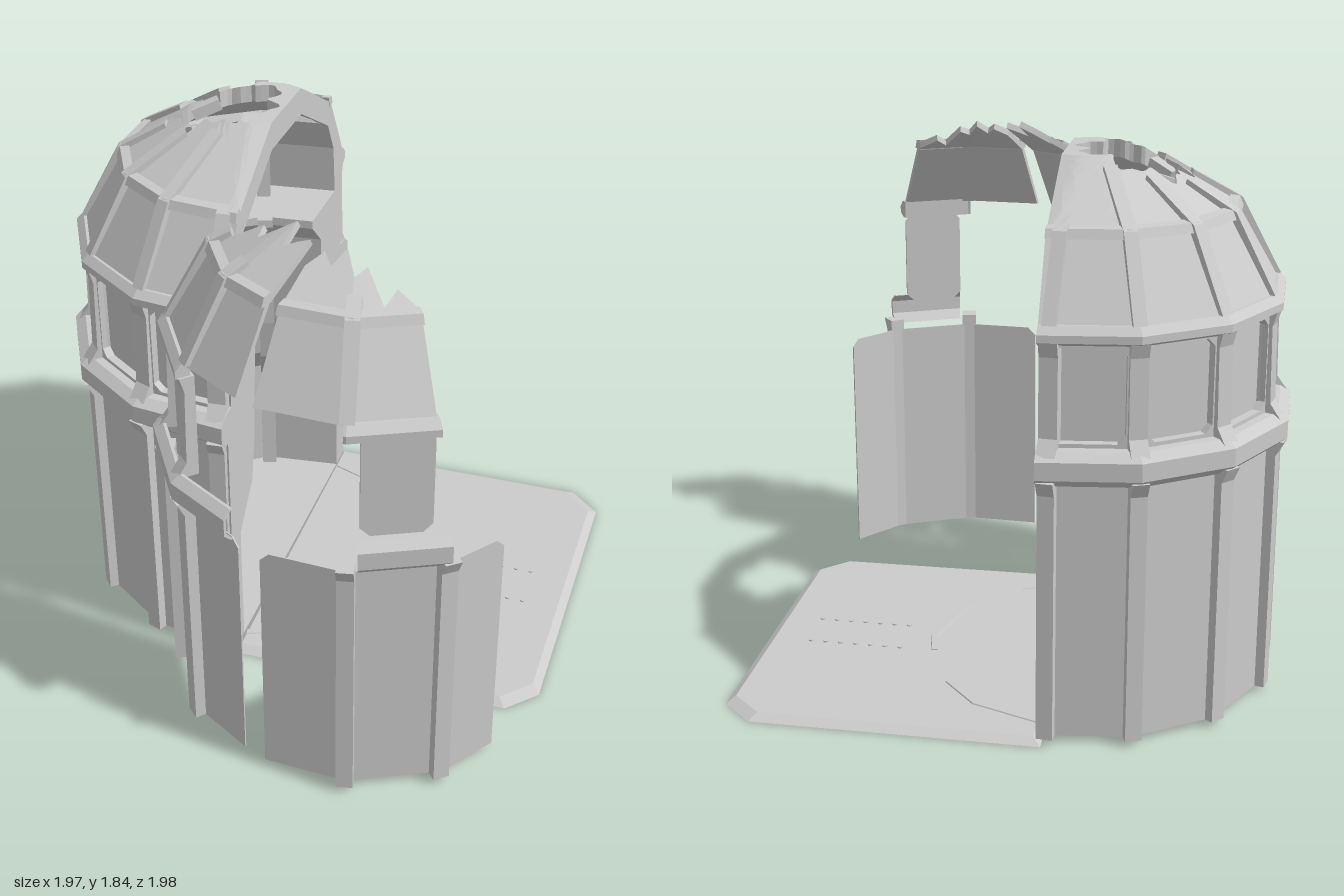
import * as THREE from 'three';

const STEP = (Math.PI * 2) / 13;            // the tower is a 13-sided polygon
const CUT = 0.083;                          // distance of the flat cut from the axis
const mat = new THREE.MeshStandardMaterial({ color: 0xcccccc, flatShading: true, side: THREE.DoubleSide });
const angle = (i) => Math.PI + (i - 3.5) * STEP;
const lerp = THREE.MathUtils.lerp;

function add(parent, name, geo) {
  const m = new THREE.Mesh(geo, mat);
  m.name = name;
  parent.add(m);
  return m;
}

// point on the polygon wall; u counts corners, fractions lie along a side
function wallPoint(u, r, y, flatEnds) {
  if (flatEnds && (u === 0 || u === 7)) return new THREE.Vector3(CUT, y, r * Math.sin(angle(u)));
  const i = Math.floor(u), f = u - i, a = angle(i), b = angle(i + 1);
  return new THREE.Vector3(r * lerp(Math.cos(a), Math.cos(b), f), y, r * lerp(Math.sin(a), Math.sin(b), f));
}

// skin closed cross-sections, with caps from the flat outlines
function loft(rings, caps) {
  const pos = [], tri = (...p) => p.forEach((v) => pos.push(v.x, v.y, v.z));
  const n = rings[0].length, last = caps ? rings.length - 1 : rings.length;
  for (let i = 0; i < last; i++) {
    const A = rings[i], B = rings[(i + 1) % rings.length];
    for (let j = 0; j < n; j++) {
      const k = (j + 1) % n;
      tri(A[j], A[k], B[j]);
      tri(A[k], B[k], B[j]);
    }
  }
  if (caps) caps.forEach((outline, e) => {
    const R = rings[e ? rings.length - 1 : 0];
    const flat = outline.map((p) => new THREE.Vector2(p[0], p[1]));
    THREE.ShapeUtils.triangulateShape(flat, []).forEach(([a, b, c]) => (e ? tri(R[a], R[b], R[c]) : tri(R[a], R[c], R[b])));
  });
  const g = new THREE.BufferGeometry();
  g.setAttribute('position', new THREE.Float32BufferAttribute(pos, 3));
  g.computeVertexNormals();
  return g;
}

// sweep an (r, y) section along the wall from u0 to u1
function sweep(u0, u1, section, flatEnds = false, extra = []) {
  const us = [u0, u1, ...extra];
  for (let i = Math.floor(u0) + 1; i < u1; i++) us.push(i);
  us.sort((a, b) => a - b);
  const at = typeof section === 'function' ? section : () => section;
  return loft(us.map((u) => at(u).map(([r, y]) => wallPoint(u, r, y, flatEnds))), [at(u0), at(u1)]);
}

const shapeOf = (pts) => new THREE.Shape(pts.map(([x, y]) => new THREE.Vector2(x, y)));

// radial slab at corner u with an (r, y) outline
function rib(parent, name, u, pts, w) {
  const g = new THREE.ExtrudeGeometry(shapeOf(pts), { depth: w, bevelEnabled: false });
  g.translate(0, 0, -w / 2);
  add(parent, name, g).rotation.y = -angle(u);
}

const octagon = (w, y0, y1, c) => [[-w, y0 + c], [-w + c, y0], [w - c, y0], [w, y0 + c], [w, y1 - c], [w - c, y1], [-w + c, y1], [-w, y1 - c]];

// flat panel on the side with its middle at u
function facePanel(parent, name, u, shape, r, depth) {
  const m = add(parent, name, new THREE.ExtrudeGeometry(shape, { depth, bevelEnabled: false }));
  const a = angle(u), d = r * Math.cos(STEP / 2);
  m.position.set(d * Math.cos(a), 0, d * Math.sin(a));
  m.rotation.y = Math.PI / 2 - a;
}

function windowFrame(parent, u) {
  const s = shapeOf([[-0.146, 1.01], [0.146, 1.01], [0.146, 1.36], [-0.146, 1.36]]);
  s.holes.push(new THREE.Path(octagon(0.115, 1.03, 1.34, 0.025).map(([x, y]) => new THREE.Vector2(x, y))));
  facePanel(parent, 'windowFrame', u, s, 0.6, 0.03);
}

const PILASTER = [[0.6, 0.02], [0.665, 0.02], [0.665, 0.87], [0.69, 0.92], [0.6, 0.92]];
const POST = [[0.58, 1.0], [0.675, 1.0], [0.64, 1.05], [0.635, 1.31], [0.65, 1.36], [0.58, 1.36]];
const BELT = [[0.59, 0.9], [0.66, 0.9], [0.695, 0.93], [0.695, 0.99], [0.66, 1.015], [0.59, 1.02]];
const BELT_SHELL = [[0.655, 0.9], [0.665, 0.9], [0.695, 0.93], [0.695, 0.99], [0.665, 1.015], [0.655, 1.015], [0.685, 0.985], [0.685, 0.935]];
const CORNICE = [[0.57, 1.345], [0.63, 1.345], [0.66, 1.36], [0.66, 1.385], [0.635, 1.41], [0.57, 1.41]];
const HOOP = [[0.47, 1.64], [0.505, 1.645], [0.492, 1.675], [0.46, 1.68]];
const domeY = (r) => lerp(1.84, 1.66, Math.max(0, (r - 0.175) / 0.305));
// rib up the dome, ending at radius r
const domeRib = (r) => [[0.6, 1.4], [0.637, 1.41], [0.497, 1.67], [r, domeY(r) + 0.015], [r - 0.01, domeY(r) - 0.02], [0.46, 1.65]];

// top of the dome, with a ragged hole beside the axis
function crown() {
  const hx = -0.13, R = 0.48, FLAT = 0.175, ap = Math.cos(STEP / 2), angs = [];
  for (let i = 0; i < 72; i++) angs.push((i / 72) * Math.PI * 2);
  for (let i = 0; i <= 7; i++) {
    const p = wallPoint(i, R, 0, true);
    angs.push((Math.atan2(p.z, p.x - hx) + Math.PI * 2) % (Math.PI * 2));
  }
  angs.sort((a, b) => a - b);
  const radius = (x, z) => {
    let m = 0;
    for (let j = 0; j < 13; j++) m = Math.max(m, (x * Math.cos(angle(j + 0.5)) + z * Math.sin(angle(j + 0.5))) / ap);
    return m;
  };
  return loft(angs.map((a) => {
    const c = Math.cos(a), s = Math.sin(a);
    let end = c > 0 ? (CUT - hx) / c : 9;
    for (let j = 0; j < 13; j++) {
      const nx = Math.cos(angle(j + 0.5)), d = c * nx + s * Math.sin(angle(j + 0.5));
      if (d > 1e-6) end = Math.min(end, (R * ap - hx * nx) / d);
    }
    const start = 0.172 + 0.022 * Math.sin(a * 7) + 0.014 * Math.sin(a * 13 + 1);
    // a sample lands on the edge of the flat top
    let lo = start, hi = end;
    for (let k = 0; k < 25; k++) {
      const mid = (lo + hi) / 2;
      if (radius(hx + mid * c, mid * s) < FLAT) lo = mid; else hi = mid;
    }
    const top = [], low = [];
    for (let k = 0; k <= 8; k++) {
      const t = k < 4 ? lerp(start, lo, k / 4) : lerp(lo, end, (k - 4) / 4);
      const x = hx + t * c, z = t * s, y = domeY(radius(x, z));
      top.unshift(new THREE.Vector3(x, y, z));
      // thicker along the arch of the cut
      low.push(new THREE.Vector3(x, y - (x > 0.02 ? 0.095 : 0.06), z));
    }
    return [...low, ...top];
  }));
}

function mainTower() {
  const g = new THREE.Group();
  g.name = 'cutTower';
  // solid wall, bell-shaped room, upper chamber and lower dome in one section
  add(g, 'towerBody', sweep(0, 7, [[0.555, 0.02], [0.64, 0.02], [0.64, 0.9], [0.6, 1.02], [0.6, 1.35], [0.625, 1.41],
    [0.48, 1.66], [0.445, 1.585], [0.515, 1.46], [0.53, 1.28], [0.265, 1.28], [0.265, 1.25], [0.36, 1.16], [0.39, 0.78],
    [0.425, 0.61], [0.555, 0.47]], true));
  add(g, 'belt', sweep(0, 7, BELT, true));
  add(g, 'cornice', sweep(0, 7, CORNICE, true));
  add(g, 'domeHoop', sweep(0, 7, HOOP, true));
  add(g, 'domeCrown', crown());
  for (let i = 0; i <= 7; i++) {
    const u = i === 0 ? 0.09 : i === 7 ? 6.91 : i;
    rib(g, 'pilaster', u, PILASTER, 0.055);
    rib(g, 'windowPost', u, POST, 0.06);
    rib(g, 'domeRib', u, domeRib([0.46, 0.23, 0.28, 0.33, 0.33, 0.28, 0.23, 0.46][i]), 0.045);
    if (i === 0 || i === 7) continue;
    rib(g, 'innerRib', i, [[0.57, 0.02], [0.515, 0.02], [0.515, 0.46], [0.39, 0.61], [0.355, 0.78], [0.325, 1.15],
      [0.235, 1.25], [0.235, 1.28], [0.3, 1.28], [0.4, 1.15], [0.45, 0.61], [0.57, 0.48]], 0.055);
    rib(g, 'chamberPost', i, [[0.43, 1.28], [0.56, 1.28], [0.56, 1.36], [0.47, 1.4], [0.47, 1.5], [0.43, 1.5]], 0.05);
  }
  for (let i = 0; i < 7; i++) windowFrame(g, i + 0.5);
  // floor under the tower
  const rim = [];
  for (let i = 0; i <= 7; i++) {
    const p = wallPoint(i, 0.64, 0, true);
    rim.push([p.x, -p.z]);
  }
  const floor = new THREE.ShapeGeometry(shapeOf(rim));
  floor.rotateX(-Math.PI / 2);
  add(g, 'floor', floor).position.y = 0.02;
  // low threshold tracing the missing wall on the plate
  const sill = [[0.545, 0.015], [0.575, 0.015], [0.57, 0.024], [0.55, 0.024]];
  add(g, 'sill', sweep(7.1, 8.67, sill));
  add(g, 'sill', sweep(9.6, 12.9, sill));
  // broken beam stubs at the hole
  [[-0.24, -0.09, 0.5], [-0.22, 0.11, -0.6]].forEach(([x, z, r]) => {
    const m = add(g, 'brokenBeam', new THREE.BoxGeometry(0.1, 0.04, 0.04));
    m.position.set(x, 1.75, z);
    m.rotation.set(0, r, 0.35);
  });
  g.position.set(-0.3, 0, -0.01);
  g.rotation.y = THREE.MathUtils.degToRad(19.6);
  return g;
}

// two thin wall fragments standing apart in front of the tower
function fragments() {
  const g = new THREE.Group();
  g.name = 'wallFragments';
  const parts = [
    { wall: [-0.75, 1.92], ribs: [0, 1], domeRibs: [1], posts: [], belt: [0.02, 0.88], cornice: [0.12, 1.03], dome: [0.14, 1.96], pane: 0.5,
      tops: [0.46, 0.4, 0.45, 0.33, 0.36, 0.28, 0.34, 0.3, 0.35] },
    { wall: [2.22, 4.12], ribs: [3, 4], domeRibs: [3, 4], posts: [3.06, 4], belt: [2.22, 4.12], cornice: [3.0, 4.12], dome: [2.2, 4.1], pane: 3.5,
      tops: [0.28, 0.3, 0.33, 0.25, 0.3, 0.36, 0.33, 0.42, 0.46] },
  ];
  for (const p of parts) {
    const [u0, u1] = p.wall;
    const wall = (u) => {
      const top = 0.88 - (u === u0 || u === u1 ? 0.03 : 0);
      return [[0.63, 0.02], [0.635, 0.02], [0.635, top], [0.63, top]];
    };
    add(g, 'lowerWall', sweep(u0, u1, wall, false, [u0 + 0.1, u1 - 0.1]));
    add(g, 'belt', sweep(...p.belt, BELT_SHELL));
    add(g, 'cornice', sweep(...p.cornice, CORNICE.map(([r, y]) => [Math.max(r, 0.61), y])));
    add(g, 'domePanel', sweep(...p.dome, [[0.615, 1.4], [0.63, 1.4], [0.48, 1.66], [0.465, 1.65]]));
    add(g, 'domeHoop', sweep(...p.dome, HOOP));
    // ragged upper edge
    const n = p.tops.length - 1;
    const sections = p.tops.map((r) => [[0.465, 1.645], [0.48, 1.66], [r, domeY(r)], [r - 0.01, domeY(r) - 0.02]]);
    add(g, 'brokenDomeEdge', loft(sections.map((s, i) => s.map(([r, y]) => wallPoint(lerp(...p.dome, i / n), r, y))), [sections[0], sections[n]]));
    facePanel(g, 'windowPane', p.pane, shapeOf(octagon(0.11, 1.0, 1.36, 0.03)), 0.61, 0.012);
    for (const u of p.ribs) rib(g, 'pilaster', u, PILASTER.map(([r, y]) => [Math.max(r, 0.625), y]), 0.055);
    for (const u of p.domeRibs) rib(g, 'domeRib', u, domeRib(0.42), 0.045);
    for (const u of p.posts) rib(g, 'windowPost', u, POST.map(([r, y]) => [Math.max(r, 0.6), y]), 0.05);
  }
  g.position.set(0.364, 0, 0.3);
  g.rotation.y = THREE.MathUtils.degToRad(51.7);
  return g;
}

// ground plate with clipped corners and sloped rim
function plate() {
  const g = new THREE.Group();
  g.name = 'groundPlate';
  const outline = [[-0.47, -0.67], [0.46, -1], [0.6, -0.94], [0.97, 0.1], [0.91, 0.23], [-0.02, 0.57]];
  const geo = new THREE.ExtrudeGeometry(shapeOf(outline.map(([x, z]) => [x, -z])), { depth: 0.02, bevelEnabled: false });
  geo.rotateX(-Math.PI / 2);
  const p = geo.attributes.position;
  for (let i = 0; i < p.count; i++) {
    if (p.getY(i) > 0.01) p.setXYZ(i, lerp(p.getX(i), 0.25, 0.05), 0.02, lerp(p.getZ(i), -0.22, 0.05));
  }
  geo.computeVertexNormals();
  add(g, 'plate', geo);
  // two rows of path studs
  for (const [x, z] of [[0.29, -0.33], [0.355, -0.165]]) {
    for (let i = 0; i < 7; i++) {
      add(g, 'pathStud', new THREE.CylinderGeometry(0.009, 0.009, 0.008, 8)).position.set(x + i * 0.052, 0.021, z - i * 0.0185);
    }
  }
  return g;
}

export function createModel() {
  const model = new THREE.Group();
  model.name = 'ruinedDomeTower';
  model.add(mainTower(), fragments(), plate());
  return model;
}
